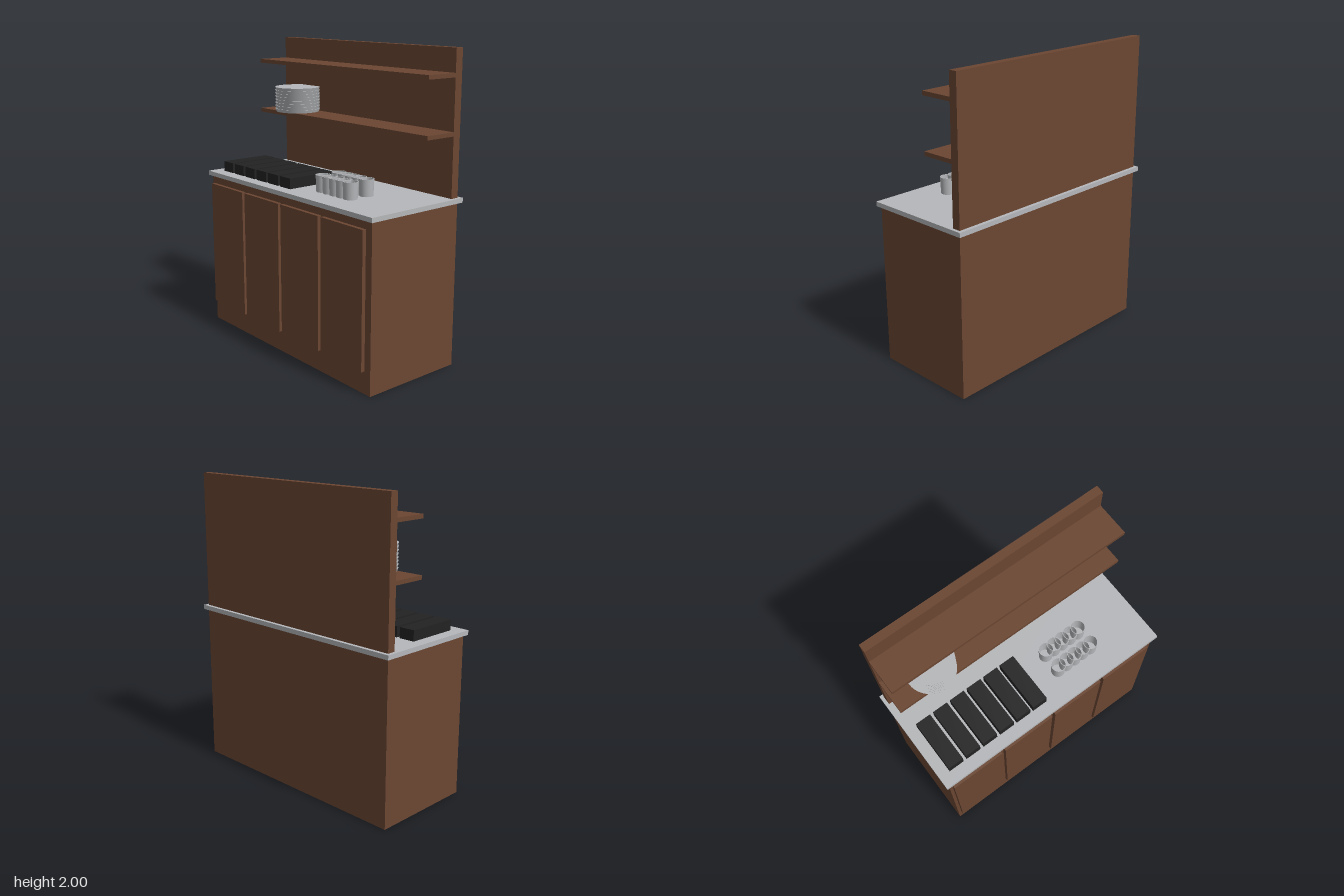
import * as THREE from 'three';

export function createModel() {
  const root = new THREE.Group();
  root.name = 'kitchenCounter';

  const material = (name, color, side = THREE.FrontSide) => {
    const m = new THREE.MeshStandardMaterial({ color, side });
    m.name = name;
    return m;
  };
  const wood = material('brown wood', 0x6b4632);
  const steel = material('worktop grey', 0xb5b7ba);
  const ceramic = material('crockery grey', 0xb5b7ba, THREE.DoubleSide);
  const black = material('black', 0x222222);

  const add = (name, geometry, mat, x = 0, y = 0, z = 0) => {
    const mesh = new THREE.Mesh(geometry, mat);
    mesh.name = name;
    mesh.position.set(x, y, z);
    root.add(mesh);
    return mesh;
  };
  // Box given by its minimum and maximum on each axis
  const box = (name, mat, x0, x1, y0, y1, z0, z1) =>
    add(name, new THREE.BoxGeometry(x1 - x0, y1 - y0, z1 - z0), mat,
      (x0 + x1) / 2, (y0 + y1) / 2, (z0 + z1) / 2);

  // Cabinet, worktop and back panel
  box('cabinet', wood, -0.823, 0.823, 0, 1.066, -0.353, 0.353);
  box('worktop', steel, -0.845, 0.845, 1.066, 1.096, -0.377, 0.374);
  box('backPanel', wood, -0.823, 0.823, 1.096, 2, -0.353, -0.298);

  // Four cabinet doors
  for (let i = 0; i < 4; i++) {
    const x = -0.801 + i * 0.4;
    box('door' + (i + 1), wood, x, x + 0.374, 0.145, 1.012, 0.353, 0.379);
  }

  // Two wall shelves
  for (const [name, y] of [['lowerShelf', 1.478], ['upperShelf', 1.828]]) {
    box(name, wood, -0.823, 0.823, y, y + 0.026, -0.298, -0.073);
  }

  // Row of black trays
  for (let i = 0; i < 6; i++) {
    const x = -0.768 + i * 0.13;
    box('tray' + (i + 1), black, x, x + 0.107, 1.096, 1.165, -0.063, 0.292);
  }

  // Stack of plates, each flaring to its rim
  const plateCount = 8, plateHeight = 0.0213;
  const plate = new THREE.CylinderGeometry(0.157, 0.15, plateHeight, 40);
  for (let i = 0; i < plateCount; i++) {
    add('plate' + (i + 1), plate, ceramic, -0.531, 1.504 + (i + 0.5) * plateHeight, -0.178);
  }

  // Two rows of open cups
  const cup = new THREE.LatheGeometry([
    [0, 0.002], [0.044, 0.002], [0.044, 0.002], [0.048, 0.11],
    [0.048, 0.11], [0.044, 0.11], [0.044, 0.11], [0.041, 0.006],
    [0.041, 0.006], [0, 0.006],
  ].map(([r, y]) => new THREE.Vector2(r, y)), 28);
  for (const z of [0.042, 0.172]) {
    for (let i = 0; i < 5; i++) add('cup', cup, ceramic, 0.175 + i * 0.0645, 1.096, z);
  }

  return root;
}
